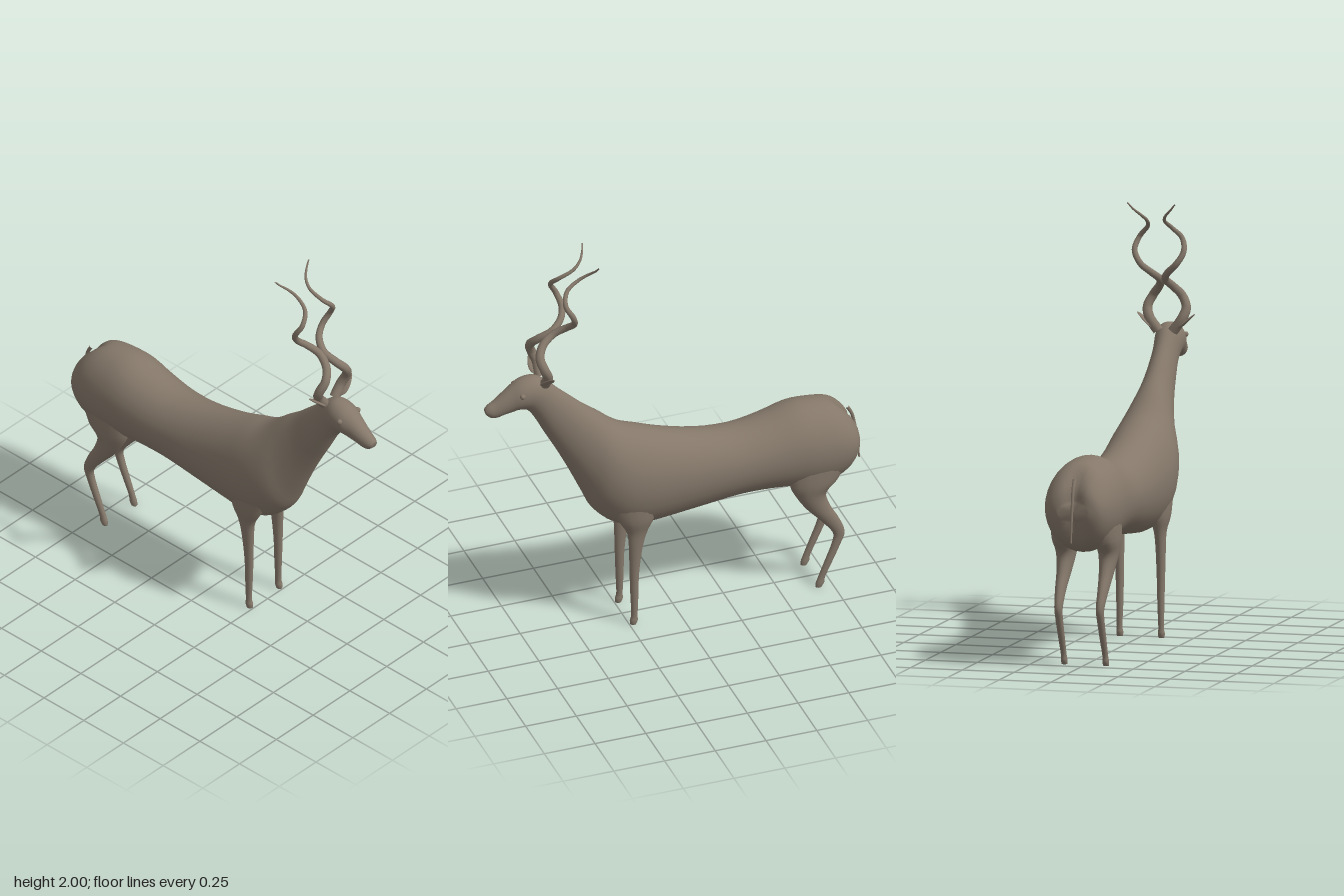
import * as THREE from 'three';

const hide = new THREE.MeshStandardMaterial({ color: 0x85786a });
hide.name = 'brown hide';

// Smoothly resample a list of number rows with a Catmull-Rom rule
function resample(rows, steps) {
  const out = [];
  const n = rows.length;
  for (let i = 0; i < n - 1; i++) {
    const [a, b, c, d] = [rows[Math.max(i - 1, 0)], rows[i], rows[i + 1], rows[Math.min(i + 2, n - 1)]];
    for (let s = 0; s < steps; s++) {
      const t = s / steps;
      out.push(b.map((v, k) => {
        const cubic = 3 * (v - c[k]) + d[k] - a[k];
        const square = 2 * a[k] - 5 * v + 4 * c[k] - d[k];
        return v + 0.5 * t * (c[k] - a[k] + t * (square + t * cubic));
      }));
    }
  }
  out.push(rows[n - 1]);
  return out;
}

// Skin closed rings of points, with a point closing each end
function loft(rings) {
  const pos = [], index = [];
  const m = rings[0].length, n = rings.length;
  rings.forEach(r => r.forEach(p => pos.push(...p)));
  const centre = r => [0, 1, 2].map(k => r.reduce((s, p) => s + p[k], 0) / m);
  pos.push(...centre(rings[0]), ...centre(rings[n - 1]));
  for (let j = 0; j < m; j++) {
    const k = (j + 1) % m;
    for (let i = 0; i < n - 1; i++) {
      const a = i * m + j, b = i * m + k;
      index.push(a, b, b + m, a, b + m, a + m);
    }
    index.push(n * m, k, j, n * m + 1, (n - 1) * m + j, (n - 1) * m + k);
  }
  const g = new THREE.BufferGeometry();
  g.setAttribute('position', new THREE.Float32BufferAttribute(pos, 3));
  g.setIndex(index);
  g.computeVertexNormals();
  return g;
}

function ring(count, fn) {
  return Array.from({ length: count }, (_, j) => {
    const a = j / count * Math.PI * 2;
    return fn(Math.cos(a), Math.sin(a));
  });
}

function add(parent, name, geometry) {
  const mesh = new THREE.Mesh(geometry, hide);
  mesh.name = name;
  parent.add(mesh);
  return mesh;
}

// Body, neck and head: top z, top y, bottom z, bottom y, half width
function bodyGeometry() {
  const rows = [
    [-0.895, 0.78, -0.895, 0.70, 0.07],
    [-0.885, 0.84, -0.878, 0.65, 0.115],
    [-0.845, 0.90, -0.845, 0.59, 0.145],
    [-0.78, 0.95, -0.78, 0.545, 0.165],
    [-0.68, 0.968, -0.68, 0.53, 0.175],
    [-0.58, 0.967, -0.58, 0.54, 0.174],
    [-0.45, 0.93, -0.45, 0.555, 0.166],
    [-0.3, 0.907, -0.3, 0.555, 0.157],
    [-0.12, 0.925, -0.12, 0.53, 0.155],
    [0.05, 0.97, 0.05, 0.508, 0.162],
    [0.17, 1.015, 0.19, 0.50, 0.17],
    [0.24, 1.042, 0.30, 0.53, 0.168],
    [0.30, 1.08, 0.40, 0.62, 0.148],
    [0.37, 1.14, 0.45, 0.72, 0.115],
    [0.44, 1.195, 0.51, 0.85, 0.088],
    [0.50, 1.25, 0.57, 0.97, 0.072],
    [0.56, 1.305, 0.63, 1.08, 0.063],
    [0.605, 1.35, 0.68, 1.175, 0.06],
    [0.645, 1.385, 0.715, 1.225, 0.065],
    [0.69, 1.405, 0.74, 1.24, 0.068],
    [0.75, 1.395, 0.775, 1.243, 0.065],
    [0.80, 1.365, 0.80, 1.235, 0.053],
    [0.84, 1.335, 0.83, 1.23, 0.045],
    [0.88, 1.305, 0.865, 1.22, 0.037],
    [0.91, 1.287, 0.895, 1.222, 0.03],
    [0.925, 1.27, 0.918, 1.24, 0.018],
  ];
  return loft(resample(rows, 3).map(([tz, ty, bz, by, w]) => ring(32, (c, s) => {
    const x = w * c, f = (1 + s) / 2;
    let z = bz + (tz - bz) * f;
    // cleft down the middle of the rump
    const near = THREE.MathUtils.smoothstep(-z, 0.7, 0.89);
    z += 0.035 * near * Math.exp(-((x / 0.04) ** 2));
    return [x, by + (ty - by) * f, z];
  })));
}

// Leg rows from top to hoof: y, z, x, half width, half depth
const foreLeg = [
  [0.66, 0.22, 0.095, 0.055, 0.12],
  [0.57, 0.212, 0.1, 0.045, 0.085],
  [0.50, 0.21, 0.1, 0.028, 0.05],
  [0.42, 0.217, 0.1, 0.023, 0.034],
  [0.28, 0.224, 0.099, 0.019, 0.023],
  [0.15, 0.224, 0.099, 0.016, 0.019],
  [0.05, 0.224, 0.1, 0.013, 0.015],
  [0.02, 0.227, 0.1, 0.016, 0.019],
  [0, 0.23, 0.1, 0.014, 0.015],
];
const hindLeg = [
  [0.70, -0.68, 0.1, 0.06, 0.15],
  [0.59, -0.66, 0.102, 0.058, 0.12],
  [0.52, -0.645, 0.102, 0.046, 0.075],
  [0.44, -0.68, 0.102, 0.034, 0.058],
  [0.36, -0.737, 0.102, 0.025, 0.044],
  [0.28, -0.782, 0.1, 0.019, 0.029],
  [0.22, -0.77, 0.1, 0.017, 0.022],
  [0.12, -0.728, 0.1, 0.015, 0.019],
  [0.05, -0.698, 0.1, 0.013, 0.017],
  [0.02, -0.69, 0.1, 0.015, 0.02],
  [0, -0.683, 0.1, 0.013, 0.014],
];
const legGeometry = (rows, side) => loft(resample(rows, 4).map(
  ([y, z, x, rx, rz]) => ring(16, (c, s) => [side * x + rx * c, y, z + rz * s])));

// Tube whose radius follows a rule along its path
function taperedTube(points, segments, radiusAt) {
  const curve = new THREE.CatmullRomCurve3(points.map(p => new THREE.Vector3(...p)));
  const sides = 10;
  const g = new THREE.TubeGeometry(curve, segments, 1, sides, false);
  const p = g.attributes.position, v = new THREE.Vector3();
  for (let i = 0; i <= segments; i++) {
    const c = curve.getPointAt(i / segments);
    for (let j = 0; j <= sides; j++) {
      const k = i * (sides + 1) + j;
      v.fromBufferAttribute(p, k).sub(c).multiplyScalar(radiusAt(i / segments)).add(c);
      p.setXYZ(k, v.x, v.y, v.z);
    }
  }
  return g;
}

// Spiral horn path: x, y, z
const hornPath = [
  [0.035, 1.37, 0.64], [0.078, 1.43, 0.642], [0.093, 1.48, 0.662], [0.068, 1.535, 0.677],
  [0.032, 1.58, 0.65], [0.013, 1.62, 0.59], [0.042, 1.66, 0.535], [0.085, 1.70, 0.515],
  [0.118, 1.76, 0.533], [0.102, 1.82, 0.563], [0.058, 1.87, 0.54], [0.043, 1.91, 0.475],
  [0.06, 1.94, 0.435], [0.09, 1.97, 0.412], [0.115, 2.0, 0.402],
];

// Leaf-shaped ear, thin and pointed at its outer end
function earGeometry() {
  const g = new THREE.SphereGeometry(1, 20, 14);
  const p = g.attributes.position;
  for (let i = 0; i < p.count; i++) {
    const y = p.getY(i), taper = 1 - 0.35 * y;
    p.setXYZ(i, p.getX(i) * 0.007 * taper, y * 0.06, p.getZ(i) * 0.032 * taper);
  }
  g.computeVertexNormals();
  return g;
}

export function createModel() {
  const model = new THREE.Group();
  model.name = 'antelope';
  add(model, 'body', bodyGeometry());

  for (const [label, side] of [['left', 1], ['right', -1]]) {
    add(model, label + 'ForeLeg', legGeometry(foreLeg, side));
    add(model, label + 'HindLeg', legGeometry(hindLeg, side));

    add(model, label + 'Horn', taperedTube(
      hornPath.map(([x, y, z]) => [side * x, y, z]), 110, t => 0.022 * (1 - t) ** 0.8 + 0.003));

    const ear = add(model, label + 'Ear', earGeometry());
    ear.position.set(side * 0.095, 1.415, 0.647);
    ear.rotation.z = -side * 0.85;

    const eye = add(model, label + 'Eye', new THREE.SphereGeometry(0.013, 14, 10));
    eye.position.set(side * 0.062, 1.34, 0.76);
  }

  // Tail
  add(model, 'tail', taperedTube(
    [[0, 0.89, -0.86], [0, 0.85, -0.882], [0, 0.79, -0.897], [0, 0.7, -0.91], [0, 0.6, -0.92]],
    30, t => 0.009 - 0.005 * t));
  return model;
}
